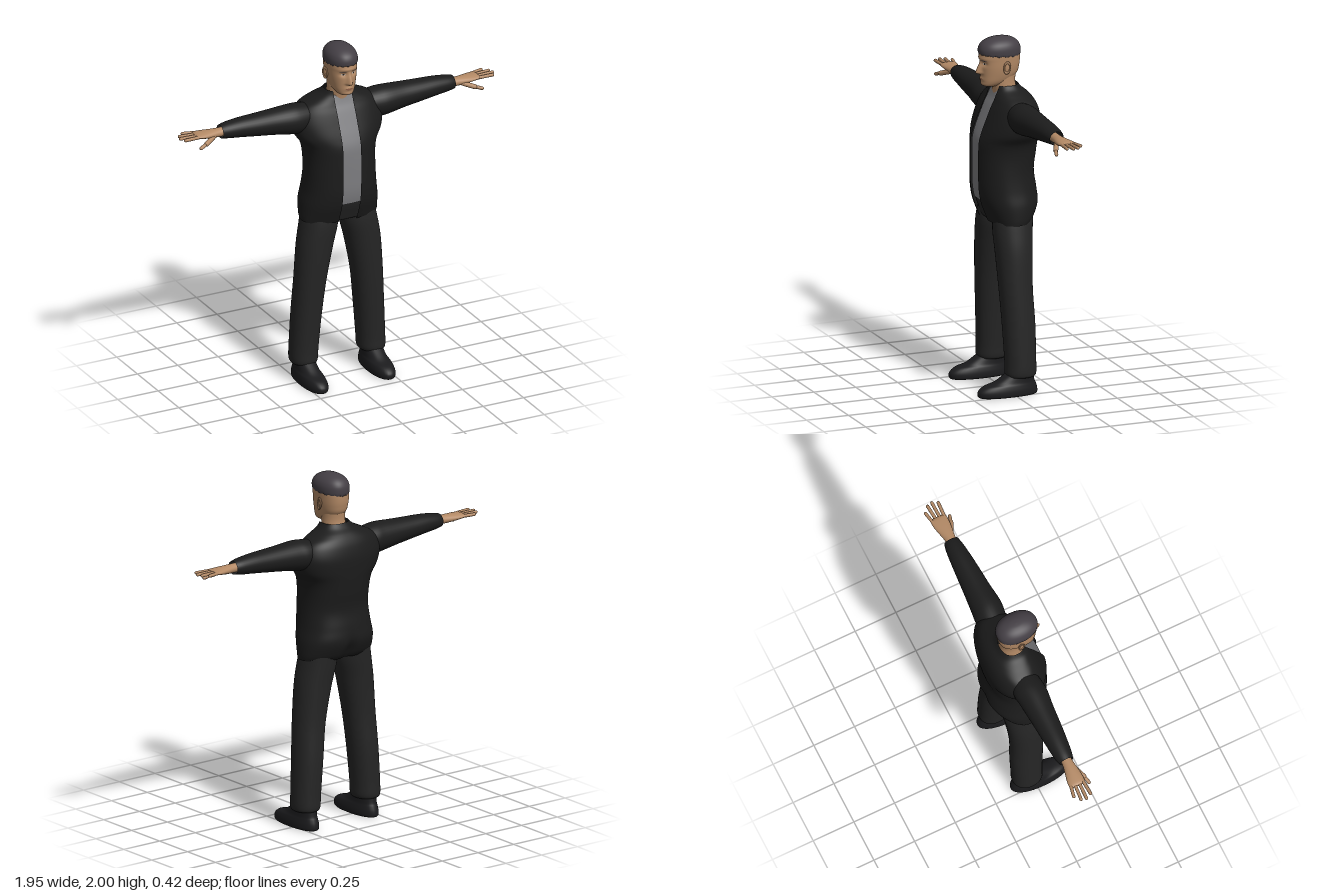
import * as THREE from 'three';

const mat = (name, color, side = THREE.FrontSide) => {
  const m = new THREE.MeshStandardMaterial({ color, side });
  m.name = name;
  return m;
};
const gauss = (d, w) => Math.exp(-(d * d) / (w * w));
const power = (v, e) => Math.sign(v) * Math.abs(v) ** e;

// A section is [position along axis, lateral centre, lateral radius, front z, back z].
// Smoothly resample a short list of sections.
function sample(secs, n) {
  const at = i => secs[Math.min(Math.max(i, 0), secs.length - 1)];
  return Array.from({ length: n + 1 }, (_, k) => {
    const u = (k / n) * (secs.length - 1), i = Math.min(Math.floor(u), secs.length - 2), t = u - i;
    return secs[0].map((_, c) => {
      const [a, b, d, f] = [at(i - 1)[c], at(i)[c], at(i + 1)[c], at(i + 2)[c]];
      return b + 0.5 * t * (d - a + t * (2 * a - 5 * b + 4 * d - f + t * (3 * (b - d) + f - a)));
    });
  });
}

// Skin a surface over sections; arc leaves an opening, rule moves vertices.
function loft(rings, { m = 48, e = 1, alongX = false, arc, rule, caps = true } = {}) {
  const pos = [], idx = [], cols = arc ? m + 1 : m;
  const put = (lat, s, z) => (alongX ? pos.push(s, lat, z) : pos.push(lat, s, z));
  rings.forEach((sec, i) => {
    const [s, c, r, zf, zb] = sec, [t0, t1] = arc ? arc(sec) : [0, Math.PI * 2];
    for (let j = 0; j < cols; j++) {
      const t = t0 + ((t1 - t0) * j) / m;
      const p = new THREE.Vector3(c + (alongX ? -r : r) * power(Math.sin(t), e), s,
        (zf + zb) / 2 + ((zf - zb) / 2) * power(Math.cos(t), e));
      if (rule) rule(p, t, i);
      put(p.x, p.y, p.z);
    }
  });
  for (let i = 0; i < rings.length - 1; i++)
    for (let j = 0; j < m; j++) {
      const k = (j + 1) % cols, a = i * cols + j, b = i * cols + k, c = b + cols, d = a + cols;
      idx.push(a, b, c, a, c, d);
    }
  if (caps && !arc) {
    const lo = pos.length / 3, top = (rings.length - 1) * cols;
    for (const [s, c, , zf, zb] of [rings[0], rings.at(-1)]) put(c, s, (zf + zb) / 2);
    for (let j = 0; j < m; j++) {
      const k = (j + 1) % m;
      idx.push(lo, k, j, lo + 1, top + j, top + k);
    }
  }
  const g = new THREE.BufferGeometry();
  g.setAttribute('position', new THREE.Float32BufferAttribute(pos, 3));
  g.setIndex(idx);
  g.computeVertexNormals();
  return g;
}

function mirrored(geo) {
  const g = geo.clone().scale(-1, 1, 1), a = g.index.array;
  for (let i = 0; i < a.length; i += 3) [a[i], a[i + 1]] = [a[i + 1], a[i]];
  return g;
}

// Rounded rod between two points, for fingers.
function rod(a, b, r) {
  const p = new THREE.Vector3(...a), q = new THREE.Vector3(...b), d = q.clone().sub(p);
  const turn = new THREE.Quaternion().setFromUnitVectors(new THREE.Vector3(0, 1, 0), d.clone().normalize());
  const mid = p.add(q).multiplyScalar(0.5);
  return new THREE.CapsuleGeometry(r, d.length(), 5, 10).applyQuaternion(turn).translate(mid.x, mid.y, mid.z);
}

export function createModel() {
  const model = new THREE.Group();
  const skin = mat('skin', 0xb48a66), hair = mat('hair', 0x443f45), trousers = mat('trousers', 0x252525);
  const jacket = mat('jacket', 0x1c1c1c, THREE.DoubleSide), shirt = mat('shirt', 0x7d7d80, THREE.DoubleSide);
  const shoe = mat('shoe', 0x1b1b1d), white = mat('eyeWhite', 0xc9c2ba);
  const iris = mat('iris', 0x2a201a), lip = mat('lips', 0x8f6048);
  const add = (name, geo, m) => {
    const mesh = new THREE.Mesh(geo, m);
    mesh.name = name;
    model.add(mesh);
  };
  const pair = (name, geo, m) => {
    add('left' + name, geo, m);
    add('right' + name, mirrored(geo), m);
  };

  // Open jacket with a shirt strip and the trouser seat inside it
  const torso = sample([
    [0.965, 0, 0.228, 0.09, -0.145], [1.0, 0, 0.23, 0.105, -0.172], [1.07, 0, 0.226, 0.132, -0.2],
    [1.15, 0, 0.212, 0.147, -0.195], [1.25, 0, 0.203, 0.15, -0.182], [1.35, 0, 0.203, 0.15, -0.195],
    [1.42, 0, 0.217, 0.146, -0.203], [1.48, 0, 0.255, 0.128, -0.207], [1.55, 0, 0.268, 0.1, -0.207],
    [1.61, 0, 0.25, 0.075, -0.195], [1.65, 0, 0.215, 0.056, -0.178], [1.68, 0, 0.155, 0.045, -0.155],
    [1.705, 0, 0.105, 0.038, -0.125], [1.73, 0, 0.08, 0.035, -0.105],
  ], 80);
  const E = 0.88;
  const gap = (r, x) => Math.asin(Math.min(1, x / r) ** (1 / E));
  const crease = p => {
    if (p.z < 0) p.z += 0.028 * gauss(p.x, 0.028) * gauss(p.y - 1.0, 0.075);
  };
  add('jacketBody', loft(torso, {
    m: 72, e: E, rule: crease, arc: s => [gap(s[2], 0.055), Math.PI * 2 - gap(s[2], 0.055)],
  }), jacket);
  add('shirt', loft(torso.filter(s => s[0] > 1.078 && s[0] < 1.708).map(([y, c, r, f, b]) => [y, c, r, f - 0.012, b]), {
    m: 16, e: E, arc: s => [-gap(s[2], 0.075), gap(s[2], 0.075)],
  }), shirt);
  add('trouserSeat', loft(torso.filter(s => s[0] < 1.12).map(([y, c, r, f, b]) => [y, c, r - 0.012, f - 0.018, b + 0.012]),
    { e: E, rule: crease }), trousers);

  // Sleeves, left open at the cuff
  pair('Sleeve', loft(sample([
    [0.16, 1.585, 0.07, 0.025, -0.125], [0.24, 1.582, 0.085, 0.04, -0.135], [0.3, 1.585, 0.084, 0.042, -0.13],
    [0.4, 1.59, 0.073, 0.03, -0.122], [0.5, 1.594, 0.064, 0.022, -0.115], [0.6, 1.598, 0.055, 0.012, -0.108],
    [0.68, 1.598, 0.046, 0.002, -0.1], [0.72, 1.597, 0.038, -0.008, -0.09],
  ], 32), { m: 32, alongX: true, caps: false }), jacket);

  // Hands
  pair('Palm', loft(sample([
    [0.64, 1.596, 0.027, -0.018, -0.076], [0.73, 1.596, 0.025, -0.016, -0.078], [0.78, 1.597, 0.023, -0.01, -0.088],
    [0.83, 1.6, 0.018, -0.006, -0.1], [0.865, 1.602, 0.013, -0.008, -0.102], [0.878, 1.602, 0.006, -0.018, -0.092],
  ], 20), { m: 24, alongX: true }), skin);
  [[-0.02, -0.014, 0.95], [-0.043, -0.046, 0.965], [-0.067, -0.076, 0.957], [-0.089, -0.105, 0.925]].forEach(([z0, z1, x], i) => {
    pair('Finger' + (i + 1), rod([0.85, 1.602, z0], [x, 1.604, z1], 0.0095), skin);
  });
  pair('ThumbBase', rod([0.77, 1.587, -0.025], [0.83, 1.565, 0.004], 0.014), skin);
  pair('ThumbTip', rod([0.83, 1.565, 0.004], [0.87, 1.552, 0.016], 0.01), skin);

  // Trouser legs and shoes
  pair('TrouserLeg', loft(sample([
    [0.105, 0.21, 0.068, 0.035, -0.12], [0.125, 0.209, 0.077, 0.046, -0.13], [0.2, 0.206, 0.079, 0.046, -0.13],
    [0.4, 0.192, 0.083, 0.055, -0.13], [0.6, 0.174, 0.089, 0.066, -0.122], [0.8, 0.147, 0.101, 0.076, -0.13],
    [0.93, 0.121, 0.105, 0.08, -0.142], [1.03, 0.11, 0.095, 0.07, -0.15],
  ], 40), { m: 36, e: 0.92 }), trousers);
  pair('Shoe', loft(sample([
    [0, 0.208, 0.061, 0.202, -0.134], [0.01, 0.208, 0.067, 0.21, -0.14], [0.035, 0.208, 0.067, 0.207, -0.138],
    [0.06, 0.208, 0.062, 0.175, -0.13], [0.08, 0.208, 0.056, 0.11, -0.122], [0.13, 0.208, 0.052, 0.03, -0.115],
  ], 20), { m: 40, e: 0.9 }), shoe);

  // Neck and head; nose, eye sockets, lips and chin are raised by a rule
  add('neck', loft(sample([
    [1.64, 0, 0.072, 0.028, -0.105], [1.7, 0, 0.067, 0.036, -0.098], [1.75, 0, 0.064, 0.045, -0.092],
    [1.82, 0, 0.064, 0.03, -0.1],
  ], 16)), skin);
  const headRings = sample([
    [1.722, 0, 0.026, 0.082, 0.015], [1.732, 0, 0.044, 0.1, -0.01], [1.755, 0, 0.06, 0.105, -0.06],
    [1.79, 0, 0.071, 0.107, -0.1], [1.83, 0, 0.078, 0.109, -0.113], [1.87, 0, 0.081, 0.111, -0.118],
    [1.91, 0, 0.082, 0.112, -0.117], [1.95, 0, 0.076, 0.098, -0.108], [1.98, 0, 0.05, 0.062, -0.075],
  ], 72);
  const HE = 0.86;
  const sculpt = (x, y) => {
    const h = THREE.MathUtils.clamp((1.875 - y) / 0.068, 0, 1) * THREE.MathUtils.smoothstep(y, 1.787, 1.803);
    return 0.033 * h * gauss(x, 0.009 + 0.007 * h)
      - 0.011 * gauss(Math.abs(x) - 0.031, 0.02) * gauss(y - 1.857, 0.014)
      + 0.005 * gauss(y - 1.885, 0.01) * gauss(x, 0.06)
      + 0.006 * gauss(x, 0.022) * gauss(y - 1.768, 0.011) + 0.004 * gauss(x, 0.025) * gauss(y - 1.737, 0.012);
  };
  add('head', loft(headRings, {
    m: 96, e: HE, rule: p => { if (p.z > 0.02) p.z += sculpt(p.x, p.y); },
  }), skin);

  // Painted face details laid over the head's surface
  const faceZ = (x, y) => {
    const [, , r, f, b] = headRings.find(s => s[0] >= y);
    return (f + b) / 2 + ((f - b) / 2) * (1 - (Math.abs(x) / r) ** (2 / HE)) ** (HE / 2) + sculpt(x, y);
  };
  const patch = (cx, cy, rx, ry, lift, tilt = 0) => {
    const g = new THREE.CircleGeometry(1, 20).scale(rx, ry, 1).rotateZ(tilt).translate(cx, cy, 0), p = g.attributes.position;
    for (let i = 0; i < p.count; i++) p.setZ(i, faceZ(p.getX(i), p.getY(i)) + lift);
    g.computeVertexNormals();
    return g;
  };
  pair('Eye', patch(0.031, 1.857, 0.012, 0.0052, 0.002), white);
  pair('Iris', patch(0.031, 1.857, 0.005, 0.005, 0.0032), iris);
  pair('Eyebrow', patch(0.034, 1.876, 0.019, 0.0032, 0.0025, -0.06), hair);
  add('mouth', patch(0, 1.768, 0.023, 0.0055, 0.0025), lip);

  // Ears with a raised rim
  const ear = g => g.rotateY(-0.25).rotateX(-0.12).translate(0.084, 1.838, -0.014);
  pair('Ear', ear(new THREE.SphereGeometry(1, 16, 12).scale(0.007, 0.032, 0.018)), skin);
  pair('EarRim', ear(new THREE.TorusGeometry(0.017, 0.0042, 8, 24).rotateY(Math.PI / 2).scale(1, 1.75, 1).translate(0.005, 0, 0)), skin);

  // Short hair cap with an uneven hairline, lower at the back
  add('hair', loft(sample([
    [1.905, 0, 0.0835, 0.114, -0.119], [1.915, 0, 0.087, 0.119, -0.123], [1.94, 0, 0.086, 0.118, -0.121],
    [1.965, 0, 0.076, 0.104, -0.108], [1.985, 0, 0.055, 0.075, -0.083], [1.997, 0, 0.028, 0.036, -0.046],
    [2.0, 0, 0.004, 0, -0.01],
  ], 30), {
    m: 72, e: 0.92, rule: (p, t, i) => {
      const low = Math.max(0, 1 - i / 10);
      p.y += low * (0.009 * Math.cos(t) - 0.006 + 0.003 * Math.sin(t * 18));
    },
  }), hair);

  return model;
}
